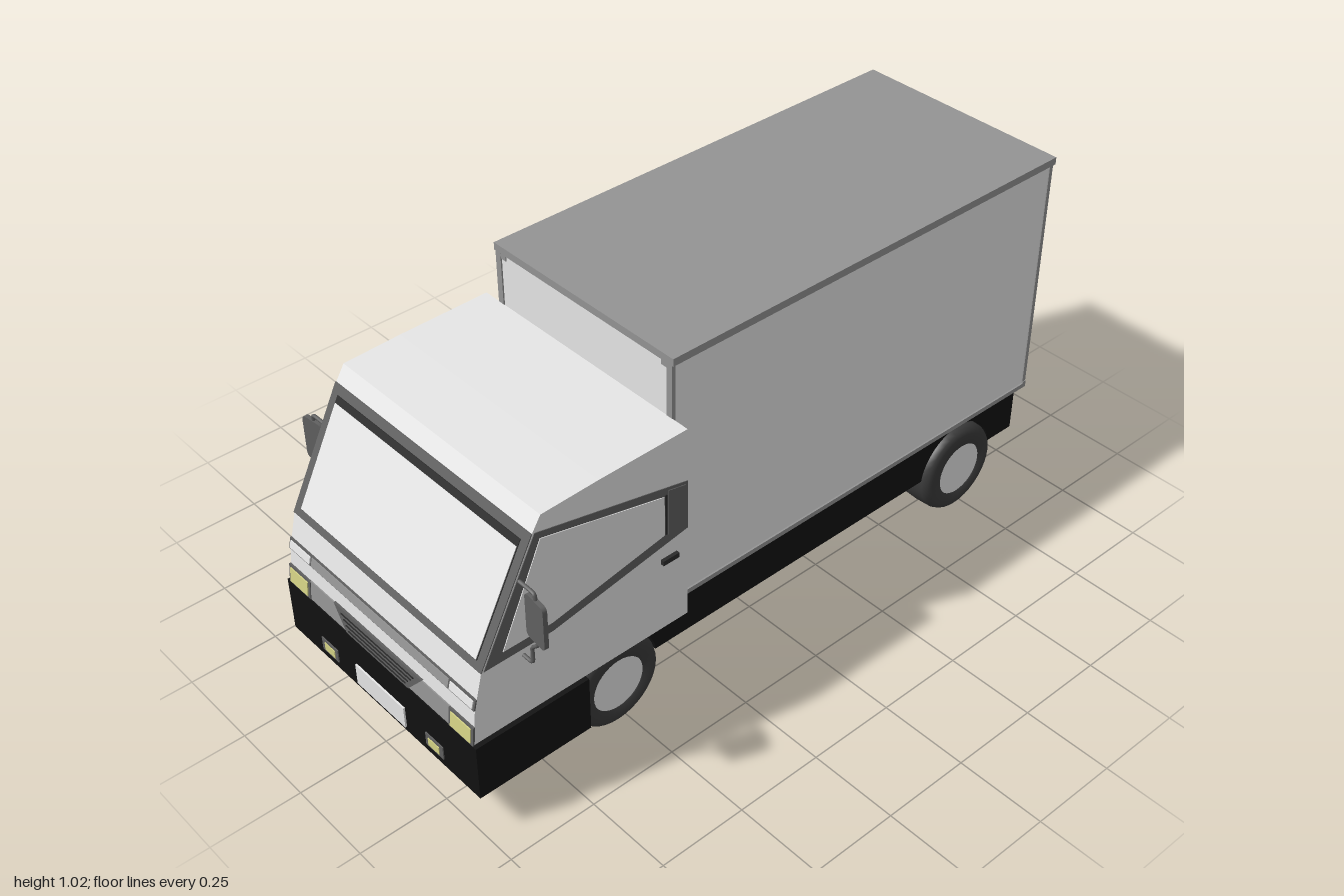
import * as THREE from 'three';

const COLORS = {
  bodyWhite: 0xe6e6e6, trimGrey: 0x949494, frameGrey: 0x606060, sealDark: 0x2a2a2a,
  chassisBlack: 0x111111, tyreRubber: 0x3b3b3b, lampYellow: 0xd5d386,
};

// Cab outline as [z, y], running up the front and back along the roof
const CAB = [[0.99, 0.28], [0.98, 0.38], [0.955, 0.48], [0.79, 0.8], [0.765, 0.84], [0.6, 0.846], [0.335, 0.85], [0.335, 0.28]];

// Depth of the cab's front surface at height y
function frontZ(y) {
  let i = 0;
  while (i < 3 && y > CAB[i + 1][1]) i++;
  const [z0, y0] = CAB[i], [z1, y1] = CAB[i + 1];
  return z0 + (z1 - z0) * (y - y0) / (y1 - y0);
}

const rect = (x0, x1, y0, y1) => [[x0, y0], [x1, y0], [x1, y1], [x0, y1]];
const toShape = (pts) => new THREE.Shape(pts.map(([a, b]) => new THREE.Vector2(a, b)));

export function createModel() {
  const truck = new THREE.Group();
  truck.name = 'boxTruck';
  const mat = {};
  for (const [name, color] of Object.entries(COLORS)) {
    mat[name] = new THREE.MeshStandardMaterial({ color });
    mat[name].name = name;
  }

  function add(name, geometry, material) {
    const mesh = new THREE.Mesh(geometry, mat[material]);
    mesh.name = name;
    truck.add(mesh);
    return mesh;
  }
  // Box given by its limits
  function box(name, material, x0, x1, y0, y1, z0, z1) {
    const g = new THREE.BoxGeometry(x1 - x0, y1 - y0, z1 - z0);
    g.translate((x0 + x1) / 2, (y0 + y1) / 2, (z0 + z1) / 2);
    add(name, g, material);
  }
  // Side outline [z, y] extruded from x0 to x1
  function sideSolid(name, material, shape, x0, x1) {
    const g = new THREE.ExtrudeGeometry(shape, { depth: x1 - x0, bevelEnabled: false, curveSegments: 20 });
    g.rotateY(-Math.PI / 2).translate(x1, 0, 0);
    add(name, g, material);
  }
  // Thin plate [x, y] that follows the slope of the cab front
  function frontPlate(name, material, pts, lift) {
    const g = new THREE.ExtrudeGeometry(toShape(pts), { depth: lift, bevelEnabled: false });
    const p = g.attributes.position;
    for (let i = 0; i < p.count; i++) p.setZ(i, p.getZ(i) + frontZ(p.getY(i)));
    g.computeVertexNormals();
    add(name, g, material);
  }
  // Same rectangle on both sides of the front
  function frontPair(name, material, x0, x1, y0, y1, lift) {
    frontPlate(name, material, rect(x0, x1, y0, y1), lift);
    frontPlate(name, material, rect(-x1, -x0, y0, y1), lift);
  }

  // Cab
  sideSolid('cab', 'bodyWhite', toShape(CAB), -0.375, 0.375);
  frontPlate('windshieldFrame', 'frameGrey', rect(-0.376, 0.376, 0.484, 0.799), 0.003);
  frontPlate('windshieldSeal', 'sealDark', rect(-0.352, 0.352, 0.504, 0.778), 0.005);
  frontPlate('windshieldGlass', 'bodyWhite', rect(-0.35, 0.35, 0.506, 0.761), 0.007);

  // Front strip, grille and lamps
  frontPlate('indicatorStrip', 'frameGrey', rect(-0.376, 0.376, 0.384, 0.414), 0.004);
  frontPlate('stripCentre', 'trimGrey', rect(-0.278, 0.278, 0.387, 0.411), 0.006);
  frontPair('indicator', 'bodyWhite', 0.284, 0.37, 0.389, 0.409, 0.007);
  frontPlate('lowerPanel', 'trimGrey', rect(-0.285, 0.285, 0.28, 0.336), 0.003);
  frontPlate('grille', 'frameGrey', [[-0.127, 0.28], [0.127, 0.28], [0.18, 0.34], [-0.18, 0.34]], 0.006);
  for (let i = 0; i < 4; i++) {
    const y = 0.289 + i * 0.012, w = 0.117 + i * 0.0106;
    frontPlate('grilleSlot', 'sealDark', rect(-w, w, y, y + 0.003), 0.008);
  }
  frontPair('headlightFrame', 'frameGrey', 0.284, 0.377, 0.28, 0.335, 0.005);
  frontPair('headlight', 'lampYellow', 0.293, 0.369, 0.286, 0.328, 0.008);

  // Bumper, front plate and cab floor
  box('bumper', 'chassisBlack', -0.388, 0.388, 0.115, 0.279, 0.66, 0.995);
  box('frontPlate', 'bodyWhite', -0.1, 0.1, 0.13, 0.194, 0.994, 1);
  box('cabFloor', 'chassisBlack', -0.372, 0.372, 0.276, 0.281, 0.34, 0.66);

  // Chassis with wheel arches cut into its flanks
  const WHEELS = [-0.72, 0.53];
  const flank = new THREE.Shape();
  flank.moveTo(-0.955, 0.155);
  for (const z of WHEELS) {
    flank.lineTo(z - 0.139, 0.155);
    flank.absarc(z, 0.14, 0.138, Math.PI - 0.1, 0.1, true);
    flank.lineTo(z + 0.139, 0.155);
  }
  flank.lineTo(0.67, 0.155);
  flank.lineTo(0.67, 0.281);
  flank.lineTo(-0.955, 0.281);
  box('chassisCore', 'chassisBlack', -0.216, 0.216, 0.155, 0.281, -0.955, 0.67);

  // Tyre section [radius, offset] to be turned about the axle
  const tyreProfile = [[0.08, -0.06], [0.112, -0.06], [0.126, -0.054], [0.133, -0.04], [0.135, 0],
    [0.133, 0.04], [0.126, 0.054], [0.112, 0.06], [0.08, 0.06], [0.08, 0.045]]
    .map(([r, h]) => new THREE.Vector2(r, h));

  // Side window outlines [z, y]
  const cabWindow = [[0.948, 0.485], [0.785, 0.799], [0.336, 0.7], [0.336, 0.557], [0.75, 0.485]];
  const cabGlass = [[0.893, 0.513], [0.772, 0.778], [0.41, 0.692], [0.41, 0.576], [0.75, 0.513]];
  const rearPane = [[0.397, 0.705], [0.343, 0.693], [0.343, 0.562], [0.397, 0.571]];

  // Mirror outline with rounded corners
  const w = 0.037, h = 0.064, r = 0.016;
  const mirrorShape = new THREE.Shape();
  mirrorShape.moveTo(-w + r, -h);
  mirrorShape.lineTo(w - r, -h);
  mirrorShape.quadraticCurveTo(w, -h, w, -h + r);
  mirrorShape.lineTo(w, h - r);
  mirrorShape.quadraticCurveTo(w, h, w - r, h);
  mirrorShape.lineTo(-w + r, h);
  mirrorShape.quadraticCurveTo(-w, h, -w, h - r);
  mirrorShape.lineTo(-w, -h + r);
  mirrorShape.quadraticCurveTo(-w, -h, -w + r, -h);
  const mirrorArms = [
    [[0.37, 0.69], [0.415, 0.69], [0.431, 0.686], [0.433, 0.66]],
    [[0.433, 0.56], [0.432, 0.535], [0.411, 0.512], [0.41, 0.472], [0.402, 0.465], [0.37, 0.465]],
  ];

  for (const s of [1, -1]) {
    // Sorted limits for a part at distance a..b from the centre line
    const span = (a, b) => (s > 0 ? [a, b] : [-b, -a]);
    sideSolid('chassisFlank', 'chassisBlack', flank, ...span(0.215, 0.32));

    // Wheels
    for (const z of WHEELS) {
      const tyre = new THREE.LatheGeometry(tyreProfile, 36).rotateZ(-s * Math.PI / 2);
      add('tyre', tyre, 'tyreRubber').position.set(s * 0.28, 0.138, z);
      const hub = new THREE.CylinderGeometry(0.081, 0.081, 0.112, 36).rotateZ(Math.PI / 2);
      add('hub', hub, 'bodyWhite').position.set(s * 0.28, 0.138, z);
    }

    // Side window, rear pillar and door handle
    sideSolid('sideWindowFrame', 'frameGrey', toShape(cabWindow), ...span(0.37, 0.377));
    sideSolid('sideGlass', 'bodyWhite', toShape(cabGlass), ...span(0.373, 0.379));
    sideSolid('rearPillar', 'frameGrey', toShape(rearPane), ...span(0.373, 0.379));
    box('pillarSeam', 'sealDark', ...span(0.374, 0.379), 0.575, 0.695, 0.402, 0.407);
    box('doorHandle', 'sealDark', ...span(0.375, 0.385), 0.489, 0.503, 0.37, 0.42);

    // Mirror on two bent arms
    const mirror = new THREE.ExtrudeGeometry(mirrorShape, { depth: 0.012, bevelEnabled: false });
    mirror.translate(0, 0, -0.006).rotateY(-s * 0.1);
    add('mirror', mirror, 'frameGrey').position.set(s * 0.433, 0.609, 0.835);
    for (const arm of mirrorArms) {
      const points = arm.map(([x, y]) => new THREE.Vector3(s * x, y, 0.835));
      const curve = new THREE.CatmullRomCurve3(points, false, 'catmullrom', 0.3);
      add('mirrorArm', new THREE.TubeGeometry(curve, 24, 0.005, 8), 'frameGrey');
    }

    // Fog lamps
    box('fogLampFrame', 'frameGrey', ...span(0.183, 0.252), 0.138, 0.178, 0.99, 0.998);
    box('fogLamp', 'lampYellow', ...span(0.195, 0.238), 0.145, 0.169, 0.99, 1);

    // Cargo box trim
    box('frontPost', 'trimGrey', ...span(0.304, 0.323), 0.28, 1, 0.325, 0.336);
    box('frontCorner', 'trimGrey', ...span(0.285, 0.305), 0.985, 1, 0.325, 0.335);
    box('rearPost', 'trimGrey', ...span(0.302, 0.323), 0.28, 1, -0.997, -0.985);
    box('lowerRail', 'trimGrey', ...span(0.3, 0.325), 0.28, 0.294, -0.997, 0.334);

    // Rear door handle and lamps
    box('rearDoorHandle', 'frameGrey', ...span(0.02, 0.064), 0.6, 0.7, -0.998, -0.985);
    box('rearHandleGrip', 'sealDark', ...span(0.034, 0.05), 0.625, 0.675, -1, -0.985);
    box('rearLampFrame', 'frameGrey', ...span(0.175, 0.295), 0.195, 0.245, -0.961, -0.95);
    box('rearLampInner', 'lampYellow', ...span(0.184, 0.23), 0.205, 0.235, -0.964, -0.95);
    box('rearLampOuter', 'lampYellow', ...span(0.24, 0.286), 0.205, 0.235, -0.964, -0.95);
  }

  // Cargo box
  box('cargoBox', 'bodyWhite', -0.32, 0.32, 0.282, 1.005, -0.992, 0.332);
  box('cargoRoof', 'trimGrey', -0.328, 0.328, 1, 1.021, -1, 0.336);
  box('rearSill', 'trimGrey', -0.325, 0.325, 0.28, 0.3, -0.997, -0.985);
  box('rearHeader', 'trimGrey', -0.32, 0.32, 0.985, 1.002, -0.996, -0.985);
  box('cargoFloor', 'chassisBlack', -0.318, 0.318, 0.277, 0.283, -0.985, 0.335);
  box('rearPlate', 'bodyWhite', -0.09, 0.09, 0.135, 0.2, -0.961, -0.953);

  return truck;
}
